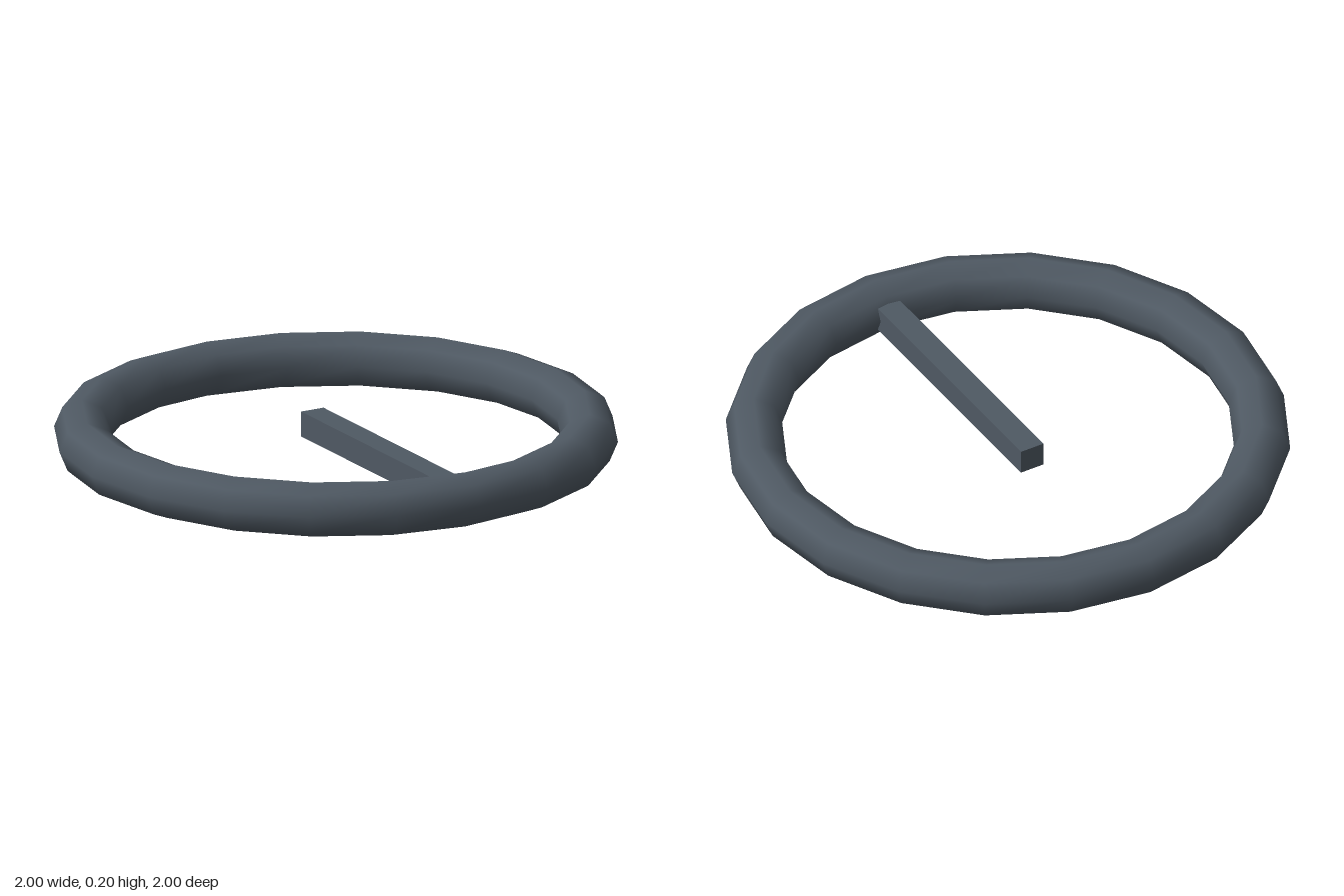
import * as THREE from 'three';

export function createModel() {
  const group = new THREE.Group();
  const material = new THREE.MeshStandardMaterial({ color: 0x4f5963 });

  // Ring lying flat, with an octagonal section and smooth normals
  const ring = new THREE.Mesh(new THREE.TorusGeometry(0.9, 0.1, 8, 20), material);
  ring.name = 'ring';
  ring.rotation.x = -Math.PI / 2;
  ring.position.y = 0.1;
  group.add(ring);

  // Square bar from the front of the ring to just past the centre
  const backZ = -0.165, frontZ = 0.82;
  const bar = new THREE.Mesh(new THREE.BoxGeometry(0.092, 0.092, frontZ - backZ), material);
  bar.name = 'bar';
  bar.position.set(0, 0.1, (backZ + frontZ) / 2);
  group.add(bar);

  return group;
}
